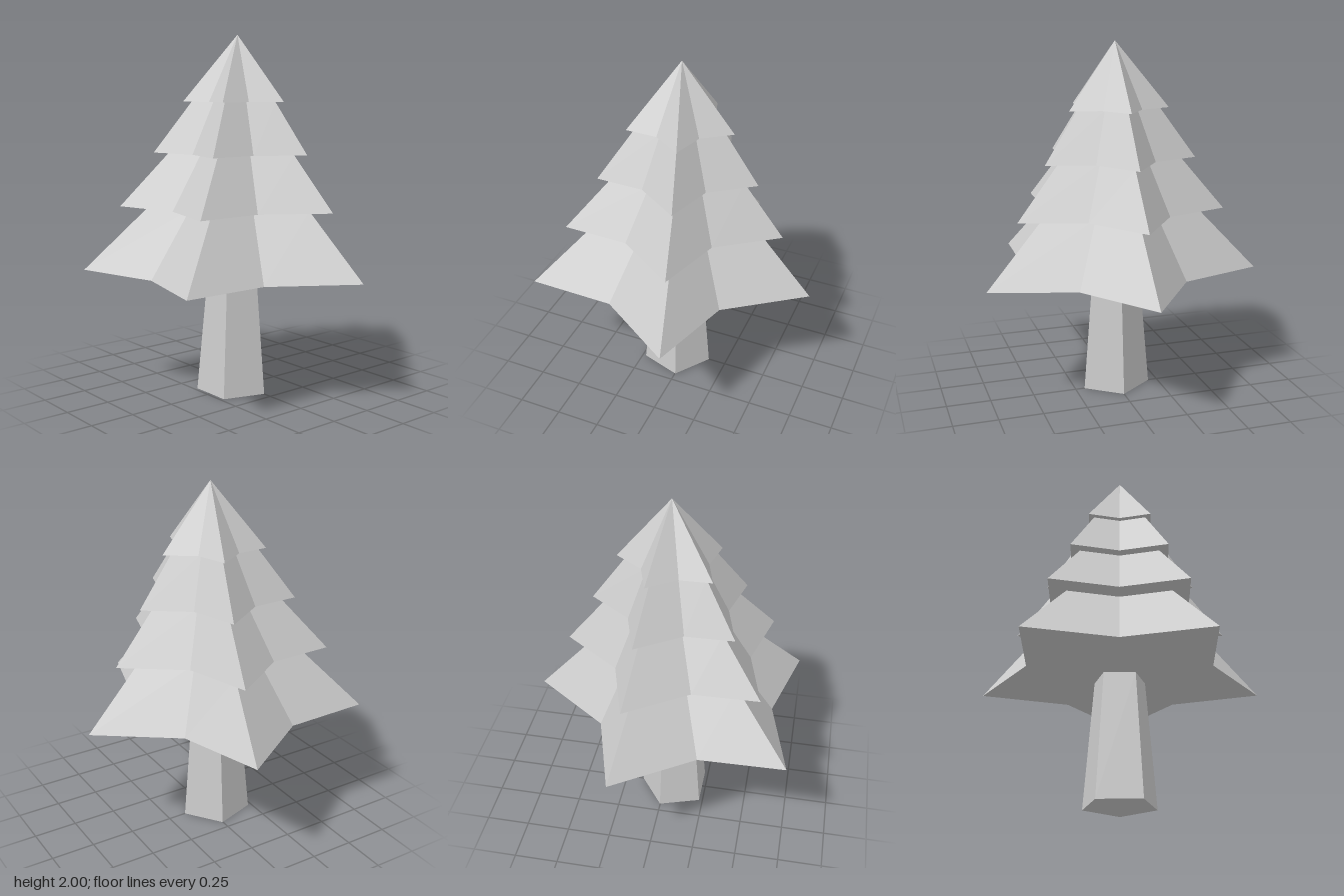
import * as THREE from 'three';

// Ring of points around the trunk axis; a star ring alternates tips and valleys.
function ring(y, radius, cx, star) {
  const count = star ? 10 : 5;
  const points = [];
  for (let i = 0; i < count; i++) {
    const a = (i / count) * Math.PI * 2;
    const valley = star && i % 2 === 1;
    const r = valley ? radius * 0.632 : radius;
    const x = valley ? cx - radius * 0.026 : cx;
    points.push(new THREE.Vector3(x + r * Math.cos(a), y, r * Math.sin(a)));
  }
  return points;
}

// Faceted solid between two rings, closed underneath.
function loft(lower, upper) {
  const positions = [];
  const tri = (...corners) => corners.forEach((p) => positions.push(p.x, p.y, p.z));
  const centre = lower.reduce((sum, p) => sum.add(p), new THREE.Vector3()).divideScalar(lower.length);
  lower.forEach((a, i) => {
    const j = (i + 1) % lower.length;
    tri(lower[j], a, upper[i]);
    if (upper[i].distanceTo(upper[j]) > 1e-6) tri(lower[j], upper[i], upper[j]);
    tri(centre, a, lower[j]);
  });
  const geometry = new THREE.BufferGeometry();
  geometry.setAttribute('position', new THREE.Float32BufferAttribute(positions, 3));
  geometry.computeVertexNormals();
  return geometry;
}

export function createModel() {
  const tree = new THREE.Group();
  tree.name = 'tree';
  const material = new THREE.MeshStandardMaterial({ color: 0xcccccc, flatShading: true });

  const add = (name, geometry) => {
    const mesh = new THREE.Mesh(geometry, material);
    mesh.name = name;
    tree.add(mesh);
  };

  // Tapered five-sided trunk
  add('trunk', loft(ring(0, 0.207, -0.062, false), ring(0.705, 0.146, -0.056, false)));

  // Star-shaped branch tiers: bottom [y, radius, x], top [y, radius, x]
  const tiers = [
    [[0.705, 0.82, -0.08], [1.06, 0.475, -0.052]],
    [[1.06, 0.626, -0.065], [1.357, 0.37, -0.043]],
    [[1.357, 0.453, -0.045], [1.637, 0.248, -0.036]],
  ];
  tiers.forEach(([bottom, top], i) => {
    add(`branchTier${i + 1}`, loft(ring(...bottom, true), ring(...top, true)));
  });

  // Pointed crown
  const base = ring(1.637, 0.298, -0.033, true);
  add('crown', loft(base, base.map(() => new THREE.Vector3(-0.03, 2, 0))));

  return tree;
}
